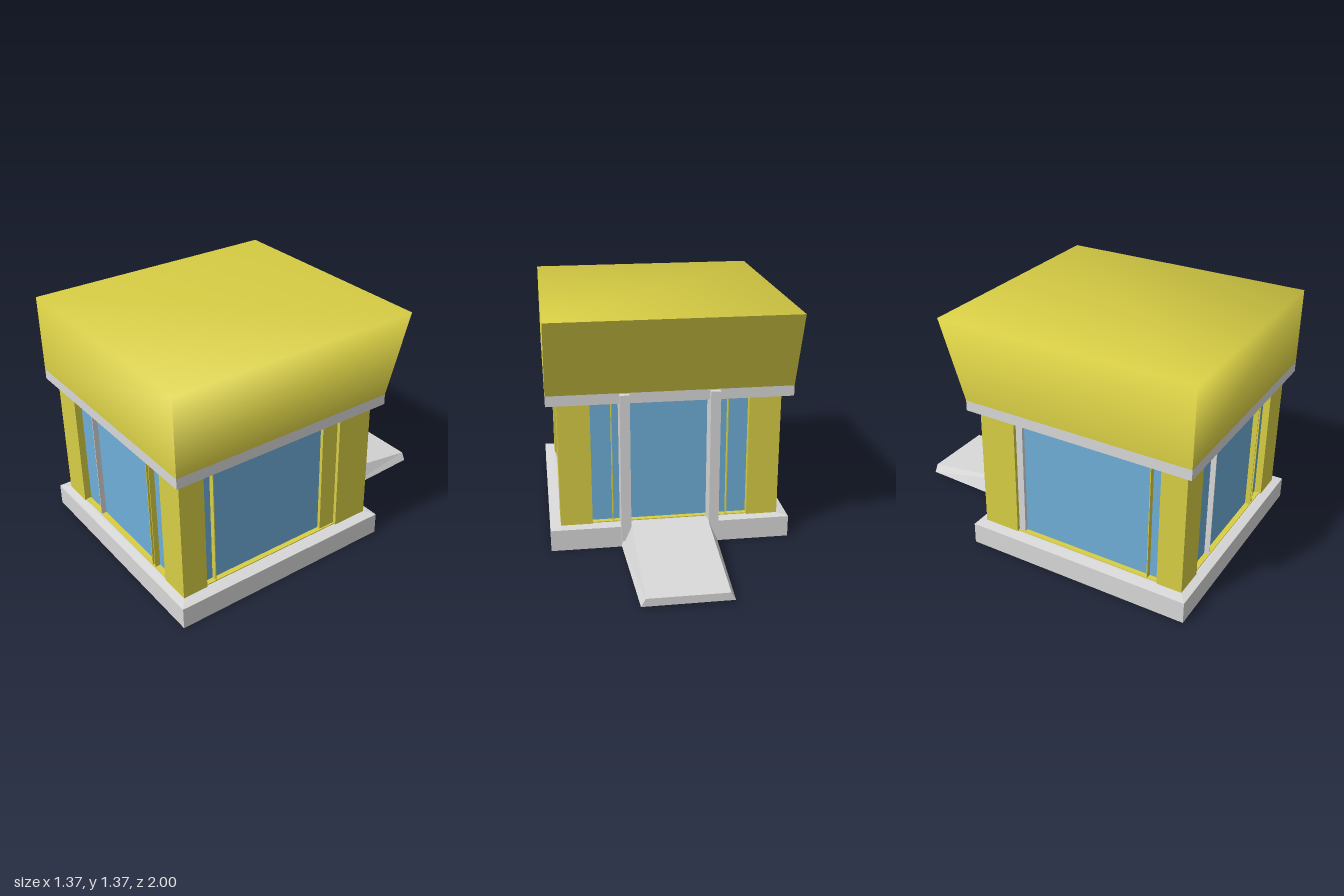
import * as THREE from 'three';

const material = (name, color, side = THREE.FrontSide) => {
  const m = new THREE.MeshStandardMaterial({ color, side });
  m.name = name;
  return m;
};

// Solid between two four-cornered outlines, corners counterclockwise from above
function hexa(bottom, top) {
  const pos = [];
  const quad = (a, b, c, d) => [a, b, c, a, c, d].forEach((p) => pos.push(...p));
  quad(...top);
  quad(...[...bottom].reverse());
  for (let i = 0; i < 4; i++) {
    const j = (i + 1) % 4;
    quad(bottom[i], bottom[j], top[j], top[i]);
  }
  const g = new THREE.BufferGeometry();
  g.setAttribute('position', new THREE.Float32BufferAttribute(pos, 3));
  g.computeVertexNormals();
  return g;
}

const rect = (y, x0, x1, z0, z1) => [[x0, y, z0], [x0, y, z1], [x1, y, z1], [x1, y, z0]];
const outer = (y) => rect(y, -0.685, 0.685, -0.33, 1);
const inner = (y) => rect(y, -0.625, 0.625, -0.285, 0.955);

export function createModel() {
  const group = new THREE.Group();
  const yellow = material('yellow paint', 0xd8ce45);
  const grey = material('light grey concrete', 0xd8d8d8);
  const blue = material('blue glass', 0x6eaed8);
  const teal = material('teal', 0x08908a);
  const purple = material('purple', 0x642098);
  const navy = material('navy', 0x4038a8);
  const red = material('dark red', 0xc8303a);

  const add = (name, geometry, mat) => {
    const mesh = new THREE.Mesh(geometry, mat);
    mesh.name = name;
    group.add(mesh);
    return mesh;
  };
  const box = (name, mat, x0, x1, y0, y1, z0, z1) => {
    const g = new THREE.BoxGeometry(x1 - x0, y1 - y0, z1 - z0);
    g.translate((x0 + x1) / 2, (y0 + y1) / 2, (z0 + z1) / 2);
    return add(name, g, mat);
  };

  // Plinth and upper slab, each with a shallow bevel towards the walls
  add('plinth', hexa(outer(0), outer(0.125)), grey);
  add('plinthBevel', hexa(outer(0.125), inner(0.134)), grey);
  add('slabBevel', hexa(inner(0.855), outer(0.865)), grey);
  add('slab', hexa(outer(0.865), outer(0.925)), grey);

  // Glass core with a yellow sill
  box('glassWalls', blue, -0.585, 0.585, 0.13, 0.86, -0.245, 0.915);
  box('sill', yellow, -0.615, 0.615, 0.13, 0.139, -0.275, 0.945);

  // Corner columns and the recessed wall beside the rear ones
  for (const s of [-1, 1]) {
    const span = (a, b) => (s > 0 ? [a, b] : [-b, -a]);
    box('frontColumn', yellow, ...span(0.445, 0.625), 0.13, 0.86, 0.81, 0.955);
    box('backColumn', yellow, ...span(0.445, 0.625), 0.13, 0.86, -0.285, -0.07);
    box('sideReveal', s > 0 ? yellow : grey, ...span(0.57, 0.605), 0.13, 0.86, -0.07, s > 0 ? 0.03 : -0.03);
    box('sideFin', yellow, ...span(0.58, 0.615), 0.13, 0.86, 0.745, 0.75);
    box('backFin', yellow, ...span(0.325, 0.33), 0.13, 0.86, -0.275, -0.24);
    // Posts beside the ramp
    const x = 0.01 + s * 0.25;
    add('rampPost', hexa(
      [[x - 0.028, 0.05, -0.36], [x - 0.028, 0.01, -0.25], [x + 0.028, 0.01, -0.25], [x + 0.028, 0.05, -0.36]],
      rect(0.92, x - 0.028, x + 0.028, -0.36, -0.25)), grey);
  }

  // Narrow fins on the front glazing
  box('frontFin', grey, -0.265, -0.26, 0.13, 0.86, 0.91, 0.945);
  for (const x of [0.3, 0.325]) box('frontFin', yellow, x, x + 0.005, 0.13, 0.86, 0.91, 0.945);

  // Ramp with flared sides
  add('ramp', hexa(
    [[-0.235, 0.01, -1], [-0.267, 0.01, -0.33], [0.287, 0.01, -0.33], [0.255, 0.01, -1]],
    [[-0.21, 0.055, -1], [-0.21, 0.145, -0.33], [0.23, 0.145, -0.33], [0.23, 0.055, -1]]), grey);

  // Coloured patches under the ramp: colour, centre x and z, radii
  const patches = [
    [red, 0.1, -0.38, 0.19, 0.07], [purple, 0.15, -0.56, 0.12, 0.14],
    [navy, 0.2, -0.75, 0.07, 0.13], [teal, 0.13, -0.94, 0.14, 0.08],
    [yellow, -0.08, -0.52, 0.12, 0.14], [red, -0.19, -0.7, 0.08, 0.12],
    [teal, -0.22, -0.4, 0.06, 0.07], [teal, -0.2, -0.96, 0.08, 0.07],
  ];
  patches.forEach(([mat, cx, cz, rx, rz], i) => {
    const g = new THREE.CircleGeometry(1, 28);
    const p = g.attributes.position;
    for (let k = 0; k < p.count; k++) {
      const a = Math.atan2(p.getY(k), p.getX(k));
      const r = 1 + 0.14 * Math.sin(3 * a + i) + 0.08 * Math.sin(5 * a + 2 * i);
      p.setXY(k,
        THREE.MathUtils.clamp(cx + rx * r * p.getX(k), -0.233, 0.253),
        THREE.MathUtils.clamp(cz + rz * r * p.getY(k), -0.998, -0.335));
    }
    g.rotateX(Math.PI / 2);
    g.translate(0, 0.009 - i * 0.0005, 0);
    add('rampPatch', g, mat);
  });

  // Roof: top, front and sides blend softly; the leaning back stays flat
  const low = outer(0.925);
  const high = rect(1.365, -0.685, 0.685, -0.485, 1);
  const pos = [...high.flat()];
  const index = [0, 1, 3, 1, 2, 3];
  for (let i = 0; i < 3; i++) {
    const a = pos.length / 3;
    pos.push(...low[i], ...low[i + 1]);
    index.push(a, a + 1, i + 1, a, i + 1, i);
  }
  const b = pos.length / 3;
  pos.push(...low[3], ...low[0], ...high[0], ...high[3]);
  index.push(b, b + 1, b + 2, b, b + 2, b + 3);
  const roof = new THREE.BufferGeometry();
  roof.setAttribute('position', new THREE.Float32BufferAttribute(pos, 3));
  roof.setIndex(index);
  roof.computeVertexNormals();
  add('roof', roof, yellow);

  return group;
}
